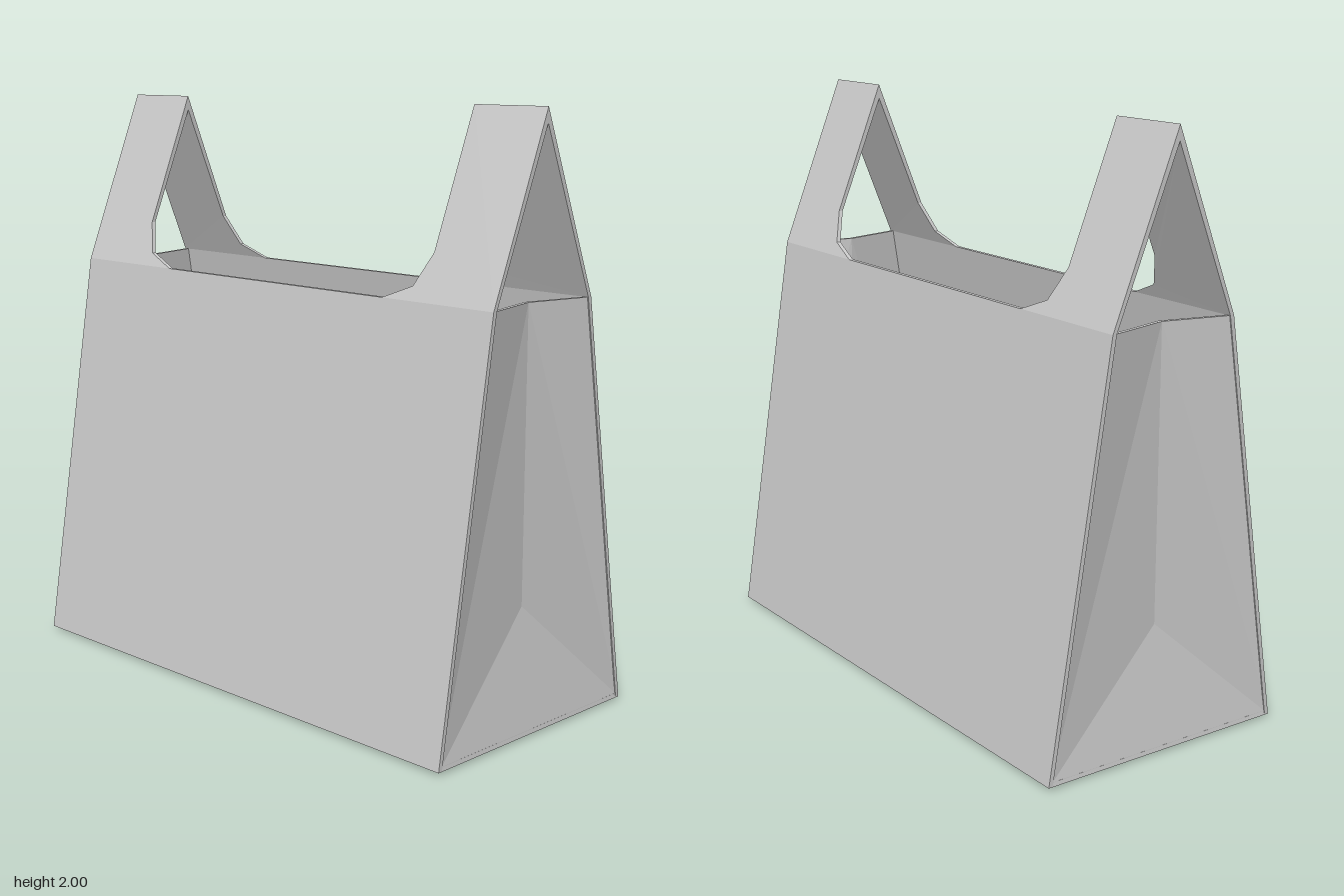
import * as THREE from 'three';
import { ConvexGeometry } from 'three/addons/geometries/ConvexGeometry.js';

const X = 0.977;      // half width
const BASE = 0.01;    // underside of the floor
const RIM = 1.4;      // height of the opening
const TOP = 2;        // tip of the handles
const ZB = 0.46;      // half depth at the base
const ZR = 0.24;      // half depth at the rim
const T = 0.015;      // sheet thickness
const FOLD = 0.06;    // how far the side gussets fold in

export function createModel() {
  const bag = new THREE.Group();
  bag.name = 'carrierBag';
  const material = new THREE.MeshStandardMaterial({
    color: 0xcccccc, flatShading: true, side: THREE.DoubleSide,
  });

  const add = (name, geometry, parent = bag) => {
    const mesh = new THREE.Mesh(geometry, material);
    mesh.name = name;
    parent.add(mesh);
    return mesh;
  };

  // Half depth of the bag at a given height
  const depthAt = (y) => (y <= RIM
    ? ZB + (ZR - ZB) * (y - BASE) / (RIM - BASE)
    : ZR * (TOP - y) / (TOP - RIM));

  // A flat outline given thickness and leaned to the slope of the bag
  const panel = (points) => {
    const shape = new THREE.Shape(points.map(([x, y]) => new THREE.Vector2(x, y)));
    const geometry = new THREE.ExtrudeGeometry(shape, { depth: T, bevelEnabled: false });
    const p = geometry.attributes.position;
    for (let i = 0; i < p.count; i++) {
      const inner = p.getZ(i) < T / 2;
      const y = p.getY(i);
      if (inner && y > TOP - 0.01) p.setXYZ(i, p.getX(i), TOP - 0.05, 0); // mitred tip
      else p.setZ(i, depthAt(y) - (inner ? T : 0));
    }
    geometry.computeVertexNormals();
    return geometry;
  };

  const wall = panel([[-X, BASE], [X, BASE], [X, RIM], [-X, RIM]]);
  const handleOutline = [
    [0.52, RIM], [X, RIM], [X, TOP], [0.685, TOP], [0.685, 1.55], [0.635, 1.445],
  ];
  const leftStrap = panel(handleOutline);
  const rightStrap = panel(handleOutline.map(([x, y]) => [-x, y]).reverse());

  // Folded side: a triangle at the foot and two leaning panels above it
  const outer = [
    [X, BASE, ZB], [X, BASE, -ZB], [X - FOLD, 0.42, 0],
    [X, RIM, ZR], [X, RIM, -ZR], [X - FOLD, RIM, 0],
  ];
  const inner = outer.map(([x, y, z]) => [x - T, y, z * 0.98]);
  const faces = [0, 1, 2, 0, 2, 5, 0, 5, 3, 1, 4, 5, 1, 5, 2];
  const insideFaces = faces.map((i) => i + 6).reverse();
  const rimFaces = [3, 5, 11, 3, 11, 9, 5, 4, 10, 5, 10, 11];
  const indexed = new THREE.BufferGeometry();
  indexed.setAttribute('position',
    new THREE.Float32BufferAttribute([...outer, ...inner].flat(), 3));
  indexed.setIndex([...faces, ...insideFaces, ...rimFaces]);
  const gusset = indexed.toNonIndexed();
  gusset.computeVertexNormals();

  // Shallow triangular flap folded under each end of the floor
  const flap = new ConvexGeometry([
    new THREE.Vector3(X, BASE, ZB), new THREE.Vector3(X, BASE, -ZB),
    new THREE.Vector3(0.5, 0, 0), new THREE.Vector3(0.5, BASE, 0),
  ]);

  // Each half turn gives the matching opposite wall, straps, side and flap
  ['front', 'back'].forEach((side, i) => {
    const half = new THREE.Group();
    half.name = `${side}Half`;
    half.rotation.y = i * Math.PI;
    bag.add(half);
    add(`${side}Wall`, wall, half);
    add(`${side}HandleStrapA`, leftStrap, half);
    add(`${side}HandleStrapB`, rightStrap, half);
    const end = i ? 'right' : 'left';
    add(`${end}Gusset`, gusset, half);
    add(`${end}BottomFlap`, flap, half);
  });

  // Floor
  const floor = add('floor', new THREE.BoxGeometry(2 * X - 0.004, T, 2 * ZB - 0.008));
  floor.position.y = BASE + T / 2;

  return bag;
}
